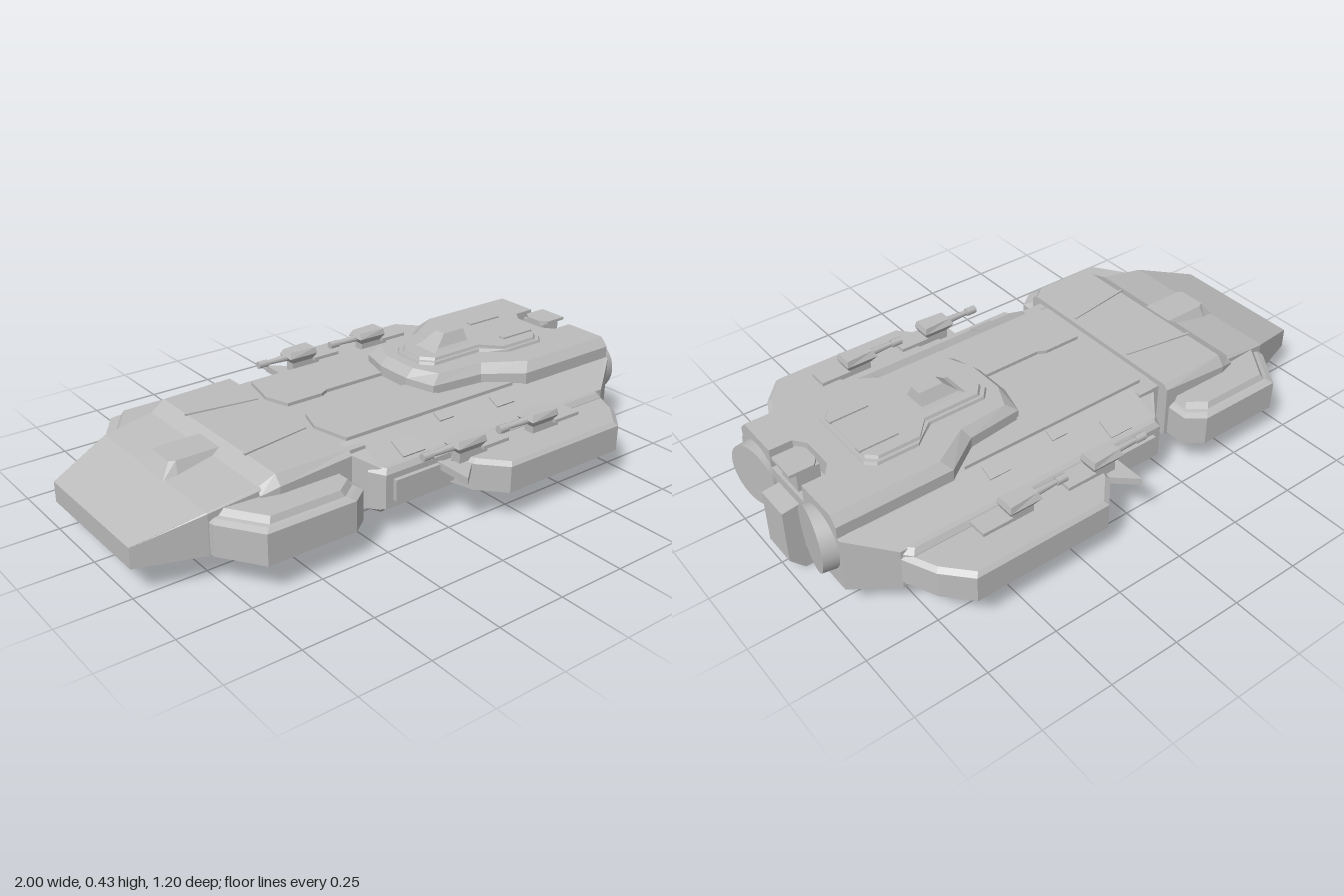
import * as THREE from 'three';

const hull = new THREE.MeshStandardMaterial({ color: 0xbcbcbc });
hull.name = 'hullGrey';

// Flat-faced solid through rings of [x, y, z] corners, stacked along one axis.
function loft(rings, axis = 'y', { flip = false, caps = [true, true] } = {}) {
  const R = rings.map(r => r.map(p => new THREE.Vector3(...p)));
  const n = R[0].length, sides = [], out = [];
  const mid = new THREE.Vector3();
  R.flat().forEach(p => mid.addScaledVector(p, 1 / (n * R.length)));
  for (let k = 0; k + 1 < R.length; k++) {
    for (let i = 0; i < n; i++) {
      const j = (i + 1) % n;
      sides.push([R[k][i], R[k][j], R[k + 1][j]], [R[k][i], R[k + 1][j], R[k + 1][i]]);
    }
  }
  const normal = ([a, b, c]) => b.clone().sub(a).cross(c.clone().sub(a));
  const facing = sides.reduce((s, t) => s + normal(t).dot(t[0].clone().add(t[1]).add(t[2]).divideScalar(3).sub(mid)), 0);
  sides.forEach(t => out.push(...((facing > 0) !== flip ? t : [t[0], t[2], t[1]])));
  const [u, v] = { x: ['y', 'z'], y: ['x', 'z'], z: ['x', 'y'] }[axis];
  const rise = Math.sign(R[R.length - 1][0][axis] - R[0][0][axis]);
  [R[0], R[R.length - 1]].forEach((ring, e) => {
    if (!caps[e]) return;
    const want = (e ? rise : -rise) * (flip ? -1 : 1);
    for (const f of THREE.ShapeUtils.triangulateShape(ring.map(p => new THREE.Vector2(p[u], p[v])), [])) {
      const t = f.map(i => ring[i]);
      out.push(...(normal(t)[axis] * want > 0 ? t : [t[0], t[2], t[1]]));
    }
  });
  const g = new THREE.BufferGeometry().setFromPoints(out);
  g.computeVertexNormals();
  return g;
}

// Outline helpers: [x, z] pairs to a level ring, mirrored across z, or pulled inward.
const level = (pts, y, s = 1) => pts.map(([x, z]) => [x, y, z * s]);
const mirror = pts => [...pts, ...pts.slice().reverse().map(p => [...p.slice(0, -1), -p[p.length - 1]])];
const inset = (pts, d) => {
  const cx = (Math.min(...pts.map(p => p[0])) + Math.max(...pts.map(p => p[0]))) / 2;
  return pts.map(([x, z]) => [x - Math.sign(x - cx) * d, z - d]);
};

export function createModel() {
  const model = new THREE.Group();
  model.name = 'spaceship';
  const add = (name, geometry, parent = model) => {
    const m = new THREE.Mesh(geometry, hull);
    m.name = name;
    parent.add(m);
    return m;
  };
  const box = (name, x0, x1, y0, y1, z0, z1) => {
    const m = add(name, new THREE.BoxGeometry(x1 - x0, y1 - y0, Math.abs(z1 - z0)));
    m.position.set((x0 + x1) / 2, (y0 + y1) / 2, (z0 + z1) / 2);
    return m;
  };
  const slab = (name, half, y0, y1, d = 0) =>
    add(name, loft([level(mirror(half), y0), level(mirror(inset(half, d)), y1)]));

  // Main hull with a chamfered keel and sloping shoulders
  const keel = mirror([[-0.2, 0.27], [-0.16, 0.35], [0.76, 0.35], [0.89, 0.27]]);
  const waist = mirror([[-0.28, 0.3], [-0.2, 0.4], [0.8, 0.4], [0.94, 0.3]]);
  add('mainHull', loft([
    level(keel, 0.045), level(waist, 0.088),
    mirror([[-0.28, 0.28, 0.3], [-0.2, 0.235, 0.4], [0.8, 0.235, 0.4], [0.94, 0.285, 0.3]]),
    mirror([[-0.28, 0.293, 0.27], [-0.2, 0.293, 0.28], [0.8, 0.293, 0.28], [0.94, 0.293, 0.28]]),
  ], 'y', { caps: [false, true] }));

  // Hull floor with an open hangar bay
  const bay = [[-0.12, -0.12], [0.24, -0.12], [0.24, 0.12], [-0.12, 0.12]];
  const floor = new THREE.Shape(keel.map(([x, z]) => new THREE.Vector2(x, z)));
  floor.holes.push(new THREE.Path(bay.map(([x, z]) => new THREE.Vector2(x, z))));
  add('hullFloor', new THREE.ShapeGeometry(floor).rotateX(Math.PI / 2).translate(0, 0.045, 0));
  add('hangarBay', loft([level(bay, 0.045), level(bay, 0.12)], 'y', { flip: true, caps: [false, true] }));

  // Raised rear deck with a notch at the stern
  const notch = [[0.94, 0.1], [0.86, 0.1], [0.83, 0.06]];
  const deckBase = [[0.17, 0.07], [0.2, 0.18], [0.4, 0.2], [0.53, 0.29], [0.94, 0.29], ...notch];
  const deckTop = [[0.2, 0.07], [0.24, 0.16], [0.42, 0.175], [0.56, 0.262], [0.94, 0.262], ...notch];
  add('rearDeck', loft([level(mirror(deckBase), 0.285), level(mirror(deckBase), 0.33), level(mirror(deckTop), 0.36)]));
  box('sternBlock', 0.85, 0.93, 0.29, 0.362, -0.05, 0.05);
  slab('sternPlate', [[0.85, 0.03], [0.87, 0.055], [0.955, 0.055]], 0.362, 0.372);

  // Superstructure and bridge
  const tower = [[0.235, 0.06], [0.27, 0.1], [0.48, 0.1], [0.57, 0.165], [0.72, 0.165], [0.75, 0.135]];
  slab('superstructure', tower, 0.355, 0.37, 0.005);
  slab('superstructureTop', inset(tower, 0.015), 0.37, 0.38, 0.004);
  add('bridge', loft([
    level(mirror([[0.31, 0.055], [0.48, 0.055]]), 0.378),
    level(mirror([[0.335, 0.042], [0.475, 0.042]]), 0.39),
    level(mirror([[0.38, 0.022], [0.47, 0.022]]), 0.43),
  ]));

  // Keel fin and neck
  const fin = [[0.64, 0.05], [0.68, 0], [0.95, 0], [1, 0.055], [1, 0.25], [0.93, 0.26]];
  add('sternFin', loft([-0.063, 0.063].map(z => fin.map(([x, y]) => [x, y, z])), 'z'));
  box('neck', -0.34, -0.2, 0.1, 0.285, -0.32, 0.32);

  // Nose wedge, cabin and cockpit
  const section = (x, y0, y1, wide, top = wide, edge = y1) =>
    [[x, y0, -wide], [x, y0, wide], [x, edge, wide], [x, y1, top], [x, y1, -top], [x, edge, -wide]];
  add('nose', loft([
    section(-1, 0.1, 0.172, 0.25, 0.25, 0.17), section(-0.78, 0.1, 0.243, 0.325, 0.32, 0.24),
    section(-0.56, 0.1, 0.28, 0.34, 0.33, 0.27),
  ], 'x'));
  add('cabin', loft([
    section(-0.61, 0.1, 0.27, 0.345, 0.325, 0.25), section(-0.55, 0.1, 0.303, 0.362, 0.335, 0.27),
    section(-0.285, 0.1, 0.305, 0.362, 0.345, 0.29),
  ], 'x'));
  add('cockpit', loft([
    level(mirror([[-0.79, 0.075], [-0.74, 0.088], [-0.56, 0.088]]), 0.235),
    level(mirror([[-0.75, 0.05], [-0.73, 0.06], [-0.57, 0.06]]), 0.289),
  ]));

  for (const s of [1, -1]) {
    const side = s > 0 ? 'left' : 'right';
    const prism = (name, pts, ...stages) =>
      add(side + name, loft(stages.map(([y, d]) => level(inset(pts, d), y, s))));

    // Nose pod with stepped bevel
    const pod = [[-0.78, 0.3], [-0.775, 0.345], [-0.68, 0.485], [-0.36, 0.485], [-0.3, 0.44], [-0.3, 0.3]];
    prism('NosePod', pod, [0.105, 0], [0.212, 0], [0.222, 0.015], [0.225, 0.025], [0.245, 0.035]);

    // Side sponson and long armour strip
    prism('ArmourStrip', [[-0.23, 0.37], [-0.2, 0.425], [0.77, 0.425], [0.82, 0.37]], [0.1, 0], [0.22, 0], [0.238, 0.012]);
    prism('Sponson', [[0.06, 0.4], [0.09, 0.51], [0.17, 0.598], [0.67, 0.598], [0.75, 0.51], [0.8, 0.4]],
      [0.112, 0], [0.205, 0], [0.218, 0.012]);
    prism('SponsonFin', [[0.01, 0.42], [0.01, 0.57], [0.1, 0.49]], [0.18, 0], [0.205, 0]);
    box(side + 'StripPanel', -0.17, 0.08, 0.125, 0.2, s * 0.42, s * 0.44);

    // Plates flanking the central deck trench
    prism('DeckPlate', [[-0.27, 0.14], [-0.24, 0.05], [-0.1, 0.05], [-0.07, 0.065], [0.2, 0.065],
      [0.21, 0.19], [0.39, 0.21], [0.48, 0.275], [-0.24, 0.275]], [0.29, 0], [0.305, 0]);
    box(side + 'RoofRib', 0.6, 0.74, 0.378, 0.386, s * 0.075, s * 0.1);
    const ridge = box(side + 'CabinRidge', -0.56, -0.3, 0.302, 0.309, s * 0.155, s * 0.163);
    ridge.rotation.y = s * 0.15;

    // Small shoulder panels
    for (const [x, z, w, d] of [[-0.06, 0.36, 0.09, 0.07], [0.14, 0.3, 0.06, 0.04], [0.39, 0.315, 0.08, 0.05]]) {
      const p = add(side + 'ShoulderPanel', new THREE.BoxGeometry(w, 0.008, d));
      p.position.set(x, 0.237 + (0.4 - z) * 0.48, s * z);
      p.rotation.x = s * 0.45;
    }

    // Engine, canted towards the centreline
    const engine = add(side + 'Engine', new THREE.CylinderGeometry(0.108, 0.108, 0.1, 32).rotateZ(-Math.PI / 2));
    engine.position.set(0.922, 0.222, s * 0.187);
    engine.rotation.y = s * 0.19;

    // Twin gun turrets
    for (const x of [-0.09, 0.235]) {
      const gun = new THREE.Group();
      gun.name = side + 'Gun';
      gun.position.set(x, 0, s * 0.465);
      model.add(gun);
      const barrel = (name, r0, r1, x0, x1) => {
        const g = new THREE.CylinderGeometry(r1, r0, x1 - x0, 8).rotateZ(-Math.PI / 2);
        add(name, g, gun).position.set((x0 + x1) / 2, 0.265, 0);
      };
      barrel('muzzle', 0.014, 0.014, 0, 0.04);
      barrel('barrel', 0.009, 0.014, 0.04, 0.13);
      add('turret', loft([
        level(mirror([[0.14, 0.02], [0.23, 0.02]]), 0.243),
        level(mirror([[0.12, 0.037], [0.24, 0.037]]), 0.268),
        level(mirror([[0.13, 0.025], [0.235, 0.032]]), 0.29),
      ]), gun);
      const base = add('turretBase', new THREE.BoxGeometry(0.12, 0.04, 0.04), gun);
      base.position.set(0.2, 0.228, 0);
      const plate = add('turretPlate', new THREE.BoxGeometry(0.11, 0.012, 0.07), gun);
      plate.position.set(0.285, 0.243, 0);
    }
  }
  return model;
}
